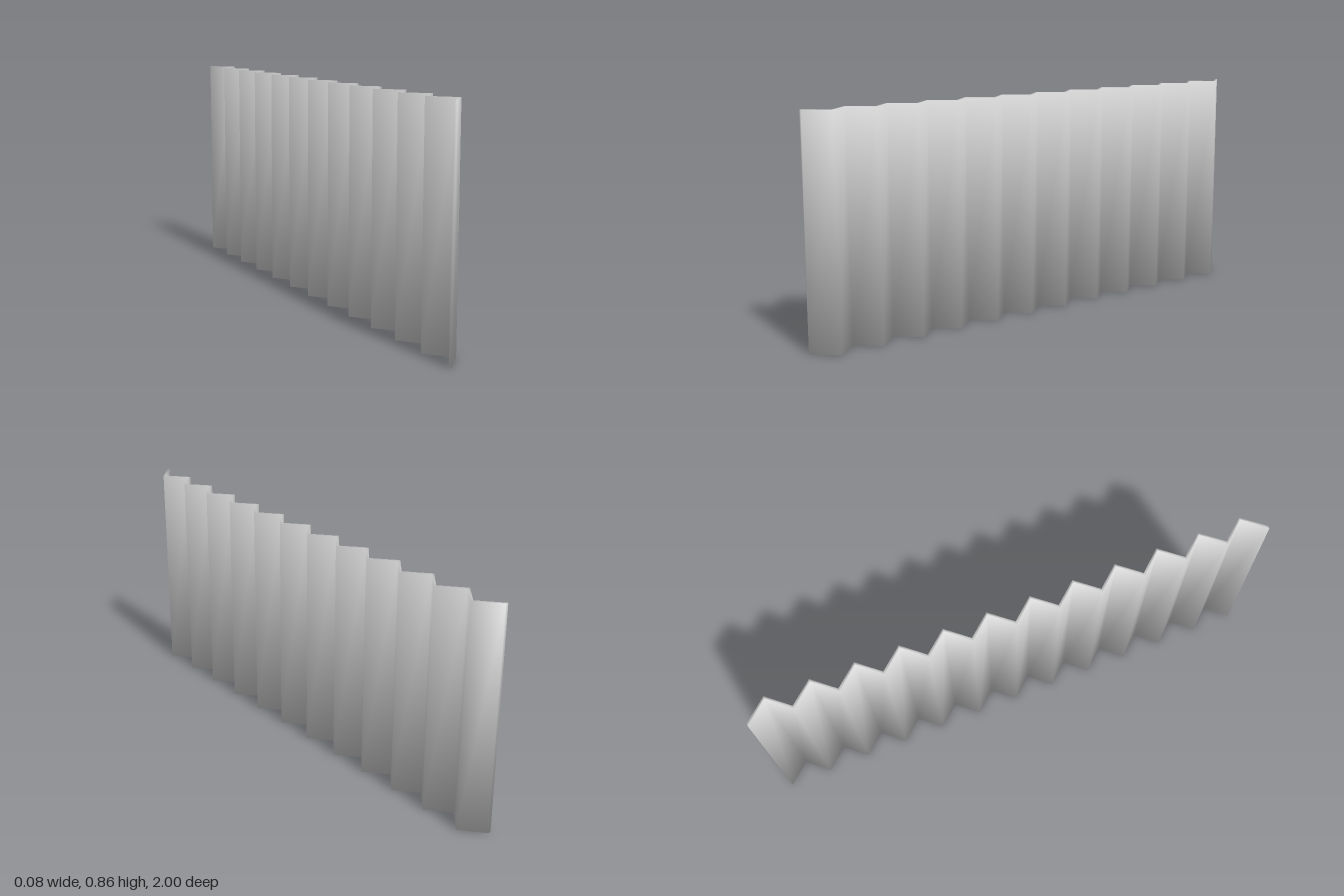
import * as THREE from 'three';

const PANELS = 24;      // flat panels between folds
const HEIGHT = 0.855;
const FOLD = 0.036;     // half depth of the zigzag
const HALF_WALL = 0.006; // half wall thickness, measured along x

// Closed outline of the pleated sheet: one face forward, the other back
function pleatOutline() {
  const near = [], far = [];
  for (let i = 0; i <= PANELS; i++) {
    const z = -1 + (2 * i) / PANELS;
    const x = i % 2 ? FOLD : -FOLD;
    near.push(new THREE.Vector2(x - HALF_WALL, z));
    far.push(new THREE.Vector2(x + HALF_WALL, z));
  }
  return [...near, ...far.reverse()];
}

// Upright wall over the outline, with corner-angle weighted soft normals
function pleatGeometry() {
  const loop = pleatOutline();
  const n = loop.length;
  const positions = [], normals = [], index = [];

  loop.forEach((p, i) => {
    const a = p.clone().sub(loop[(i + n - 1) % n]).normalize();
    const b = loop[(i + 1) % n].clone().sub(p).normalize();
    const interior = Math.PI - Math.atan2(a.y * b.x - a.x * b.y, a.dot(b));
    for (const up of [-1, 1]) {
      const normal = new THREE.Vector3(-a.y - b.y, 0, a.x + b.x)
        .multiplyScalar(Math.PI / 2)
        .setY(up * interior)
        .normalize();
      positions.push(p.x, up > 0 ? HEIGHT : 0, p.y);
      normals.push(normal.x, normal.y, normal.z);
    }
  });

  // Sides and both end edges
  for (let i = 0; i < n; i++) {
    const a = 2 * i, b = 2 * ((i + 1) % n);
    index.push(a, b, b + 1, a, b + 1, a + 1);
  }
  // Top and bottom edges, one strip per panel
  for (let i = 0; i < PANELS; i++) {
    const a = 2 * i, b = a + 2, c = 2 * (n - 2 - i), d = c + 2;
    index.push(a + 1, b + 1, c + 1, a + 1, c + 1, d + 1);
    index.push(a, c, b, a, d, c);
  }

  const geometry = new THREE.BufferGeometry();
  geometry.setAttribute('position', new THREE.Float32BufferAttribute(positions, 3));
  geometry.setAttribute('normal', new THREE.Float32BufferAttribute(normals, 3));
  geometry.setIndex(index);
  return geometry;
}

export function createModel() {
  const group = new THREE.Group();
  group.name = 'foldingScreen';
  const sheet = new THREE.Mesh(
    pleatGeometry(),
    new THREE.MeshStandardMaterial({ color: 0xcccccc })
  );
  sheet.name = 'pleatedPanels';
  group.add(sheet);
  return group;
}
